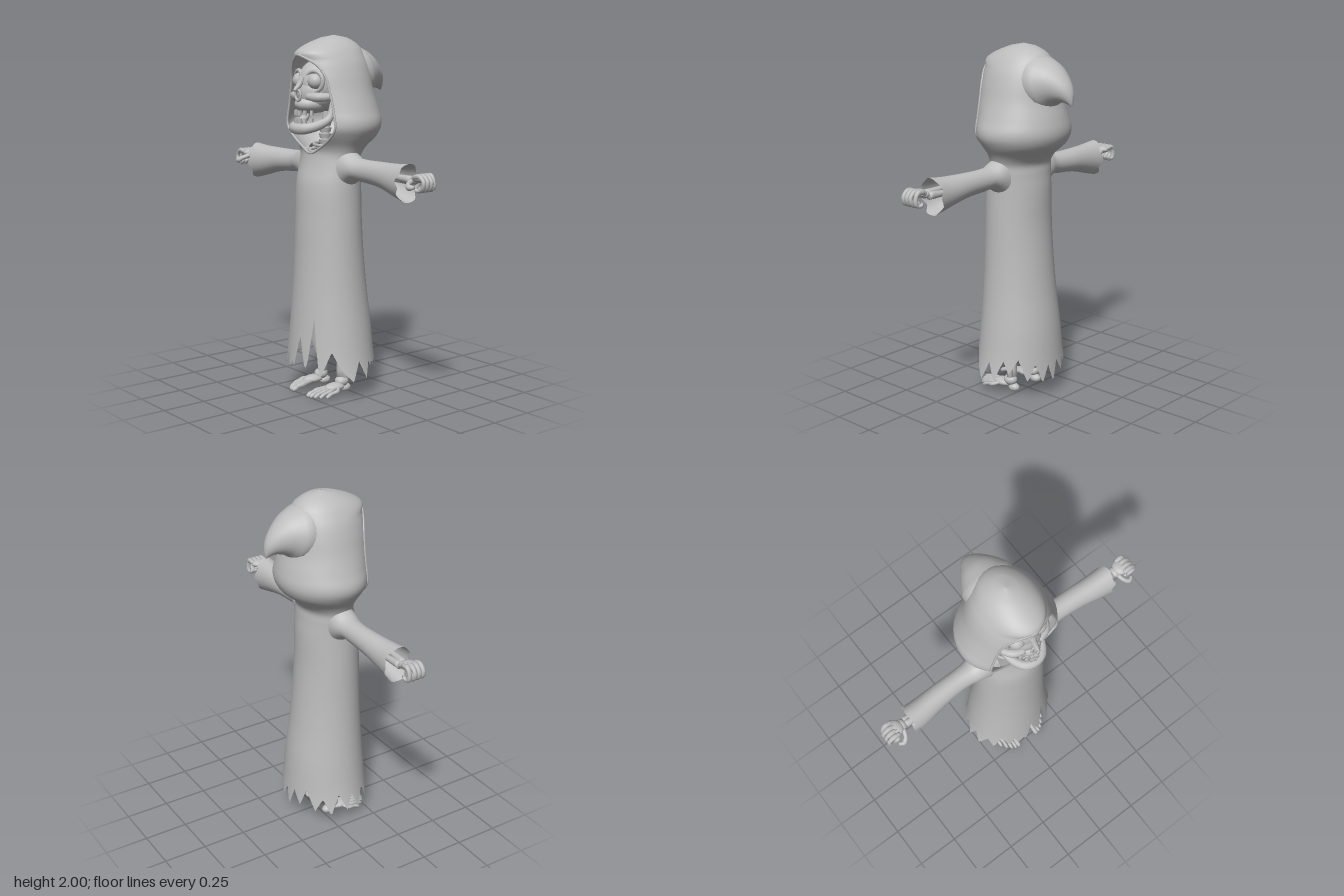
import * as THREE from 'three';

const grey = new THREE.MeshStandardMaterial({ color: 0xbdbdbd, side: THREE.DoubleSide });
grey.name = 'grey';
const V = (x, y, z) => new THREE.Vector3(x, y, z);

function add(parent, name, geometry) {
  const mesh = new THREE.Mesh(geometry, grey);
  mesh.name = name;
  parent.add(mesh);
  return mesh;
}

// Skin a list of rings, each with the same number of points
function loft(rings, wrap) {
  const n = rings[0].length, pos = [], idx = [];
  rings.forEach(r => r.forEach(p => pos.push(p.x, p.y, p.z)));
  for (let i = 0; i < rings.length - 1; i++) {
    for (let j = 0; j < (wrap ? n : n - 1); j++) {
      const k = (j + 1) % n;
      const a = i * n + j, b = i * n + k, c = a + n, d = b + n;
      idx.push(a, b, c, b, d, c);
    }
  }
  const g = new THREE.BufferGeometry();
  g.setAttribute('position', new THREE.Float32BufferAttribute(pos, 3));
  g.setIndex(idx);
  g.computeVertexNormals();
  return g;
}

// Round tapered tube with closed ends along a smooth path
function sweep(points, radii, steps = 14, sides = 10) {
  const curve = new THREE.CatmullRomCurve3(points.map(p => V(...p)));
  const frames = curve.computeFrenetFrames(steps);
  const ring = (i, shrink) => {
    const t = i / steps, f = t * (radii.length - 1), k = Math.min(Math.floor(f), radii.length - 2);
    const r = shrink * THREE.MathUtils.lerp(radii[k], radii[k + 1], f - k);
    const c = curve.getPoint(t);
    return Array.from({ length: sides }, (_, j) => {
      const a = j / sides * Math.PI * 2;
      return c.clone().addScaledVector(frames.normals[i], r * Math.cos(a)).addScaledVector(frames.binormals[i], r * Math.sin(a));
    });
  };
  const rings = [ring(0, 0.01)];
  for (let i = 0; i <= steps; i++) rings.push(ring(i, 1));
  rings.push(ring(steps, 0.01));
  return loft(rings, true);
}

const bone = (parent, name, points, radii, steps, sides) => add(parent, name, sweep(points, radii, steps, sides));

function ball(parent, name, p, r, detail = 24) {
  const m = add(parent, name, new THREE.SphereGeometry(1, detail, Math.round(detail * 0.7)));
  m.position.set(...p);
  m.scale.set(...r);
  return m;
}

// Smooth lookup in a table whose first column is the parameter
function table(rows) {
  const cubic = new THREE.CubicInterpolant(rows.map(r => r[0]), rows.flatMap(r => r.slice(1)), rows[0].length - 1);
  return t => Array.from(cubic.evaluate(t));
}
function zigzag(points, a) {
  let i = 0;
  while (i < points.length - 2 && points[i + 1][0] < a) i++;
  const [p, q] = [points[i], points[i + 1]];
  return THREE.MathUtils.lerp(p[1], q[1], (a - p[0]) / (q[0] - p[0]));
}

// Robe and hood: height, half width, front edge z, widest z, back z, opening half width
const section = table([
  [0.08, 0.29, 0.3, 0.06, -0.19, 0], [0.2, 0.265, 0.29, 0.06, -0.18, 0], [0.4, 0.24, 0.275, 0.06, -0.165, 0],
  [0.6, 0.22, 0.262, 0.065, -0.14, 0], [0.8, 0.208, 0.252, 0.07, -0.12, 0], [1, 0.203, 0.245, 0.07, -0.105, 0],
  [1.2, 0.2, 0.232, 0.07, -0.1, 0], [1.3, 0.2, 0.205, 0.06, -0.092, 0], [1.35, 0.2, 0.195, 0.055, -0.092, 0],
  [1.4, 0.22, 0.19, 0.05, -0.13, 0.09], [1.45, 0.255, 0.19, 0.04, -0.19, 0.165], [1.5, 0.281, 0.19, 0.04, -0.217, 0.21],
  [1.54, 0.283, 0.19, 0.04, -0.222, 0.213], [1.6, 0.262, 0.19, 0.04, -0.212, 0.2], [1.7, 0.228, 0.195, 0.04, -0.185, 0.175],
  [1.8, 0.2, 0.21, 0.04, -0.17, 0.14], [1.86, 0.178, 0.24, 0.04, -0.155, 0.085], [1.9, 0.155, 0.275, 0.04, -0.14, 0],
  [1.94, 0.125, 0.225, 0.04, -0.12, 0], [1.975, 0.08, 0.14, 0.035, -0.07, 0], [1.993, 0.04, 0.08, 0.03, -0.02, 0],
  [2, 0.001, 0.031, 0.03, 0.029, 0]]);

// Torn hem: angle from the front in degrees, height
const hem = [[0, 0.3], [4, 0.345], [13, 0.17], [17, 0.2], [26, 0.46], [34, 0.13], [42, 0.2], [51, 0.28], [63, 0.18], [78, 0.11],
  [90, 0.22], [100, 0.12], [112, 0.24], [120, 0.17], [132, 0.25], [145, 0.12], [155, 0.22], [165, 0.1], [174, 0.2], [181, 0.09],
  [190, 0.21], [200, 0.13], [210, 0.24], [222, 0.12], [233, 0.2], [243, 0.1], [255, 0.23], [266, 0.12], [275, 0.22], [285, 0.11],
  [297, 0.22], [308, 0.13], [317, 0.27], [329, 0.16], [335, 0.24], [343, 0.16], [350, 0.2], [353, 0.16], [360, 0.3]];

function clothPoint(y, a) {
  const [w, ze, zc, zb, open] = section(y);
  const a0 = Math.asin(Math.min(0.9, Math.max(0, open) / w));
  const b = a0 + a * (1 - a0 / Math.PI);
  const c = Math.cos(b), depth = c > 0 ? (ze - zc) / Math.cos(a0) : zc - zb;
  return V(w * Math.sin(b), y, zc + depth * c);
}

function makeGarment(root) {
  const cols = 180, rings = [], split = 0.52;
  const row = yAt => rings.push(Array.from({ length: cols + 1 }, (_, j) => clothPoint(yAt(j * 360 / cols), j / cols * Math.PI * 2)));
  for (let i = 0; i < 12; i++) row(d => THREE.MathUtils.lerp(zigzag(hem, d), split, i / 12));
  for (let i = 0; i <= 110; i++) row(() => split + (2 - split) * i / 110);
  add(root, 'hoodedRobe', loft(rings, false));
  // Drooping point at the back of the hood
  bone(root, 'hoodTail', [[0, 1.77, 0.02], [0, 1.8, -0.13], [0, 1.785, -0.225], [0, 1.735, -0.285], [0, 1.69, -0.308]],
    [0.16, 0.15, 0.09, 0.04, 0.004], 24, 28);
  // Hood edge
  const rim = [];
  for (let i = 0; i <= 24; i++) rim.push(clothPoint(1.365 + 0.53 * i / 24, 0));
  const loop = rim.concat(rim.slice().reverse().map(p => V(-p.x, p.y, p.z)));
  add(root, 'hoodRim', new THREE.TubeGeometry(new THREE.CatmullRomCurve3(loop, true), 120, 0.007, 6, true));
}

// Sleeve: x, top, bottom, front, back
const sleeveAt = table([[0.12, 1.41, 1.12, 0.15, -0.03], [0.2, 1.375, 1.2, 0.14, -0.02], [0.25, 1.35, 1.225, 0.13, -0.005],
  [0.3, 1.345, 1.222, 0.12, 0], [0.45, 1.345, 1.208, 0.125, 0], [0.6, 1.35, 1.17, 0.145, 0], [0.68, 1.358, 1.15, 0.155, -0.005]]);
const cuff = [[0, 0.68], [35, 0.665], [60, 0.675], [80, 0.64], [100, 0.672], [125, 0.64], [150, 0.67], [180, 0.662],
  [215, 0.672], [240, 0.645], [270, 0.67], [300, 0.65], [330, 0.675], [360, 0.68]];

function makeArm(side) {
  const rings = [], n = 48;
  for (let i = 0; i <= 30; i++) {
    rings.push(Array.from({ length: n }, (_, j) => {
      const a = j / n * Math.PI * 2;
      const x = THREE.MathUtils.lerp(0.12, zigzag(cuff, j * 360 / n), i / 30);
      const [top, bottom, front, back] = sleeveAt(x);
      return V(x, (top + bottom) / 2 + (top - bottom) / 2 * Math.cos(a), (front + back) / 2 + (front - back) / 2 * Math.sin(a));
    }));
  }
  add(side, 'sleeve', loft(rings, true));
  bone(side, 'ulna', [[0.35, 1.27, 0.06], [0.55, 1.265, 0.06], [0.7, 1.27, 0.062]], [0.02, 0.014, 0.022]);
  bone(side, 'radius', [[0.35, 1.29, 0.09], [0.55, 1.285, 0.09], [0.7, 1.278, 0.085]], [0.02, 0.014, 0.022]);
  ball(side, 'wrist', [0.72, 1.28, 0.075], [0.025, 0.022, 0.032], 14);
  ball(side, 'palm', [0.757, 1.292, 0.075], [0.04, 0.022, 0.046], 16);
  for (let f = 0; f < 4; f++) {
    const z = 0.037 + f * 0.026, out = f === 0 ? 0.815 : 0.828;
    bone(side, 'finger', [[0.755, 1.3, z], [0.8, 1.305, z], [out, 1.275, z], [0.81, 1.237, z], [0.775, 1.235, z], [0.768, 1.25, z]],
      [0.012, 0.015, 0.011, 0.014, 0.011, 0.012, 0.008], 16, 8);
  }
  bone(side, 'thumb', [[0.725, 1.28, 0.1], [0.74, 1.265, 0.14], [0.765, 1.25, 0.155], [0.79, 1.255, 0.145]], [0.014, 0.012, 0.016, 0.009]);
}

function makeLeg(side) {
  bone(side, 'shin', [[0.085, 0.7, 0.055], [0.083, 0.4, 0.05], [0.086, 0.09, 0.045]], [0.035, 0.02, 0.018, 0.03]);
  bone(side, 'calfBone', [[0.12, 0.66, 0.04], [0.118, 0.4, 0.035], [0.11, 0.09, 0.04]], [0.018, 0.01, 0.01, 0.018]);
  ball(side, 'ankle', [0.095, 0.066, 0.05], [0.036, 0.032, 0.042], 16);
  ball(side, 'heel', [0.093, 0.025, 0.025], [0.028, 0.025, 0.036], 16);
  ball(side, 'instep', [0.1, 0.043, 0.105], [0.042, 0.024, 0.065], 16);
  for (let t = 0; t < 5; t++) {
    const x = 0.068 + t * 0.0225, reach = 0.275 - t * t * 0.0042, r = t === 0 ? 1.3 : 1;
    bone(side, 'toe', [[0.08 + t * 0.011, 0.045, 0.1], [x, 0.035, reach - 0.08], [x, 0.027, reach - 0.035], [x, 0.012, reach]],
      [0.011, 0.009, 0.013, 0.009, 0.012, 0.008].map(v => v * r), 12, 8);
  }
}

function makeSkull(root) {
  const skull = new THREE.Group();
  skull.name = 'skull';
  root.add(skull);
  ball(skull, 'cranium', [0, 1.735, 0.09], [0.135, 0.148, 0.165], 32);
  ball(skull, 'face', [0, 1.69, 0.15], [0.108, 0.11, 0.115], 32);
  ball(skull, 'upperJaw', [0, 1.63, 0.185], [0.082, 0.052, 0.098]);
  bone(skull, 'noseBridge', [[0, 1.775, 0.245], [0, 1.735, 0.268], [0, 1.705, 0.302]], [0.02, 0.016, 0.008]);
  const nose = add(skull, 'noseRim', new THREE.TorusGeometry(0.022, 0.007, 8, 20));
  nose.position.set(0, 1.68, 0.275);
  nose.scale.y = 1.3;
  for (const s of [-1, 1]) {
    ball(skull, 'eye', [s * 0.068, 1.755, 0.207], [0.044, 0.044, 0.044]);
    const rim = add(skull, 'eyeSocket', new THREE.TorusGeometry(0.055, 0.012, 8, 28));
    rim.position.set(s * 0.069, 1.755, 0.217);
    rim.rotation.y = s * 0.3;
    bone(skull, 'cheekbone', [[s * 0.045, 1.675, 0.25], [s * 0.1, 1.672, 0.225], [s * 0.14, 1.675, 0.16], [s * 0.125, 1.7, 0.08]],
      [0.018, 0.026, 0.02, 0.012]);
  }
  bone(skull, 'lowerJaw', [[0.105, 1.64, 0.12], [0.105, 1.555, 0.145], [0.085, 1.515, 0.22], [0.045, 1.502, 0.27], [0, 1.5, 0.28],
    [-0.045, 1.502, 0.27], [-0.085, 1.515, 0.22], [-0.105, 1.555, 0.145], [-0.105, 1.64, 0.12]],
  [0.014, 0.022, 0.026, 0.03, 0.03, 0.03, 0.026, 0.022, 0.014], 40, 12);
  // Two rows of teeth
  for (let i = -3; i <= 3; i++) {
    for (const [y, h] of [[1.586, 0.026], [1.543, 0.026]]) {
      const tooth = add(skull, 'tooth', new THREE.BoxGeometry(0.016, h, 0.014));
      tooth.position.set(i * 0.0195, y, 0.282 - i * i * 0.006);
      tooth.rotation.y = i * 0.2;
    }
  }
  // Neck bones and collar
  for (let i = 0; i < 7; i++) {
    const v = add(root, 'vertebra', new THREE.CylinderGeometry(0.036, 0.03, 0.024, 14));
    v.position.set(0, 1.32 + i * 0.033, 0.09);
  }
  bone(root, 'spine', [[0, 1.25, 0.085], [0, 1.4, 0.09], [0, 1.62, 0.08]], [0.022, 0.022]);
  for (const [y, r] of [[1.41, 0.085], [1.375, 0.11]]) {
    const rib = add(root, 'collarRing', new THREE.TorusGeometry(r, 0.01, 8, 28));
    rib.rotation.x = Math.PI / 2 + 0.15;
    rib.scale.y = 0.75;
    rib.position.set(0, y, 0.08);
  }
}

export function createModel() {
  const root = new THREE.Group();
  root.name = 'hoodedSkeleton';
  makeGarment(root);
  makeSkull(root);
  for (const s of [1, -1]) {
    const side = new THREE.Group();
    side.name = s > 0 ? 'leftLimbs' : 'rightLimbs';
    side.scale.x = s;
    makeArm(side);
    makeLeg(side);
    root.add(side);
  }
  return root;
}
